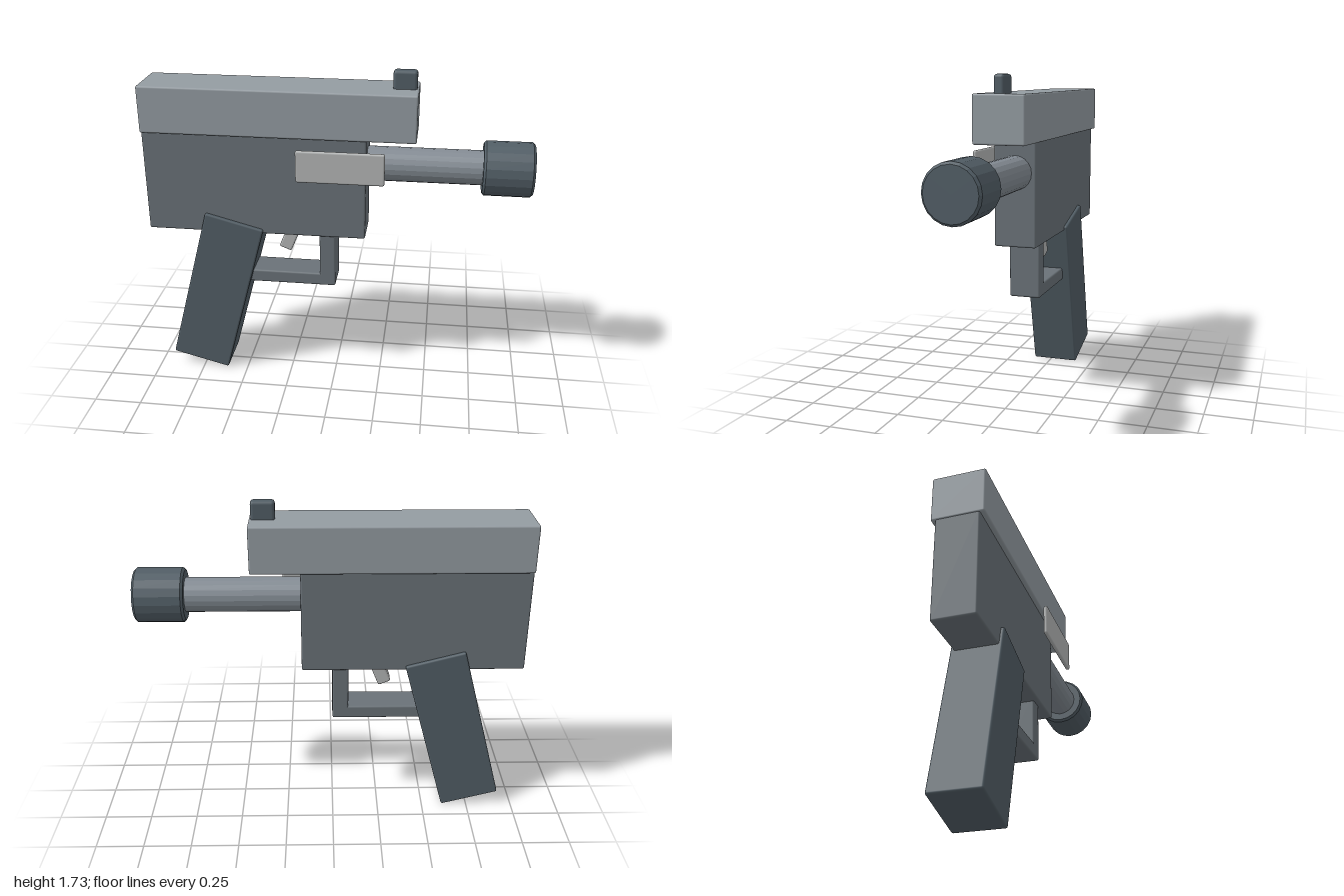
import * as THREE from 'three';
import { RoundedBoxGeometry } from 'three/addons/geometries/RoundedBoxGeometry.js';

const MID = -0.025; // z of the centre plane
const paint = (color) => new THREE.MeshStandardMaterial({ color });

export function createModel() {
  const group = new THREE.Group();
  const light = paint(0x949ca2);
  const body = paint(0x6a7278);
  const dark = paint(0x525e66);
  const steel = paint(0x848c94);
  const pale = paint(0xb4b6b6);

  // Soft-edged box given by its centre and size, leaning about z
  function box(name, material, [x, y, z], [w, h, d], lean = 0, radius = 0.01) {
    const mesh = new THREE.Mesh(new RoundedBoxGeometry(w, h, d, 2, radius), material);
    mesh.name = name;
    mesh.position.set(x, y, z);
    mesh.rotation.z = lean;
    group.add(mesh);
  }

  // Faceted round bar along x with chamfered ends
  function bar(name, material, x0, x1, r, chamfer) {
    const half = (x1 - x0) / 2;
    const profile = [
      [0, -half], [r - chamfer, -half], [r, -half + chamfer],
      [r, half - chamfer], [r - chamfer, half], [0, half],
    ].map(([a, b]) => new THREE.Vector2(a, b));
    const geometry = new THREE.LatheGeometry(profile, 20).toNonIndexed();
    geometry.computeVertexNormals();
    const mesh = new THREE.Mesh(geometry, material);
    mesh.name = name;
    mesh.rotation.z = -Math.PI / 2;
    mesh.position.set((x0 + x1) / 2, 1.24, MID);
    group.add(mesh);
  }

  // Upper slide, sight and lower frame
  box('slide', light, [-0.295, 1.52, MID], [1.41, 0.245, 0.27]);
  box('frontSight', dark, [0.34, 1.682, MID], [0.12, 0.106, 0.056], 0, 0.016);
  box('frame', body, [-0.42, 1.128, MID], [1.16, 0.548, 0.224]);

  // Barrel and muzzle
  bar('barrel', steel, 0.1, 0.8, 0.089, 0.005);
  bar('muzzle', dark, 0.745, 1, 0.14, 0.012);

  // Thin plate floating beside the frame
  box('sidePlate', pale, [0.035, 1.272, 0.156], [0.45, 0.168, 0.022]);

  // Leaning grip
  box('grip', dark, [-0.65, 0.482, MID], [0.32, 0.905, 0.26], -0.26);

  // Trigger and its guard
  box('trigger', pale, [-0.245, 0.82, MID], [0.07, 0.18, 0.08], -0.38);
  box('guardPost', body, [-0.042, 0.72, MID], [0.085, 0.34, 0.168]);
  box('guardBar', body, [-0.27, 0.584, MID], [0.54, 0.07, 0.168]);

  return group;
}
